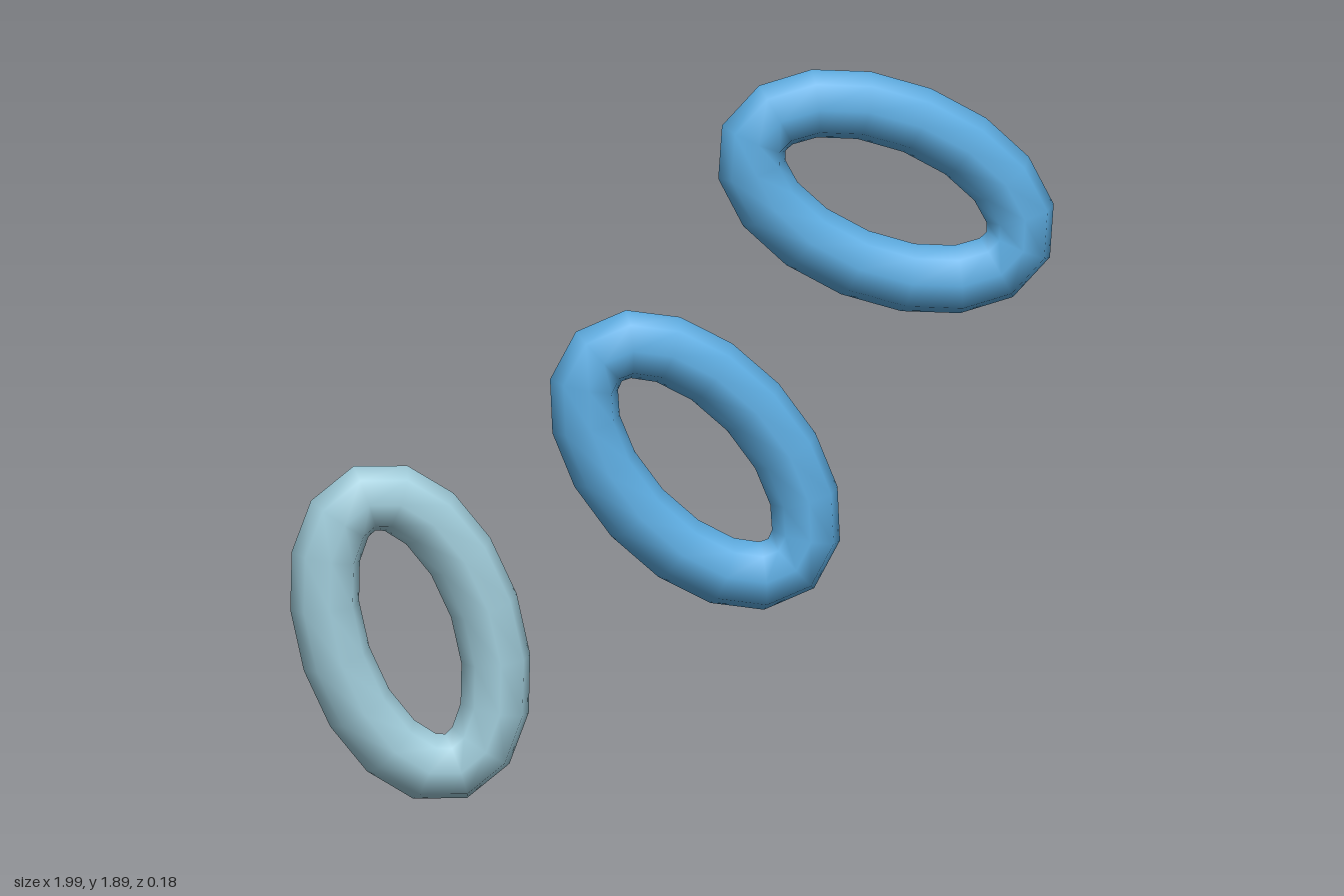
import * as THREE from 'three';

const TUBE = 0.09, LONG = 0.376, SHORT = 0.202;

// Torus whose centre line is stretched into an ellipse, keeping a round tube
function ovalRing() {
  const geo = new THREE.TorusGeometry(1, 0.5, 8, 16);
  const pos = geo.attributes.position, nor = geo.attributes.normal, uv = geo.attributes.uv;
  for (let i = 0; i < pos.count; i++) {
    const u = uv.getX(i) * Math.PI * 2, v = uv.getY(i) * Math.PI * 2;
    const out = new THREE.Vector2(SHORT * Math.cos(u), LONG * Math.sin(u)).normalize();
    const c = Math.cos(v), s = Math.sin(v);
    pos.setXYZ(i, LONG * Math.cos(u) + TUBE * c * out.x, SHORT * Math.sin(u) + TUBE * c * out.y, TUBE * s);
    nor.setXYZ(i, c * out.x, c * out.y, s);
  }
  return geo;
}

export function createModel() {
  const group = new THREE.Group();
  group.name = 'ovalRings';
  const paleBlue = new THREE.MeshStandardMaterial({ color: 0xa0ccda });
  paleBlue.name = 'paleBlue';
  const skyBlue = new THREE.MeshStandardMaterial({ color: 0x5dade2 });
  skyBlue.name = 'skyBlue';

  // Three rings rising to the side, each leaning further over
  const geo = ovalRing();
  const rings = [
    ['lowerRing', -0.685, 0.45, 108.5, paleBlue],
    ['middleRing', 0.056, 0.88, 131.7, skyBlue],
    ['upperRing', 0.553, 1.572, 156.3, skyBlue],
  ];
  for (const [name, x, y, angle, material] of rings) {
    const ring = new THREE.Mesh(geo, material);
    ring.name = name;
    ring.position.set(x, y, 0);
    ring.rotation.z = THREE.MathUtils.degToRad(angle);
    group.add(ring);
  }
  return group;
}
